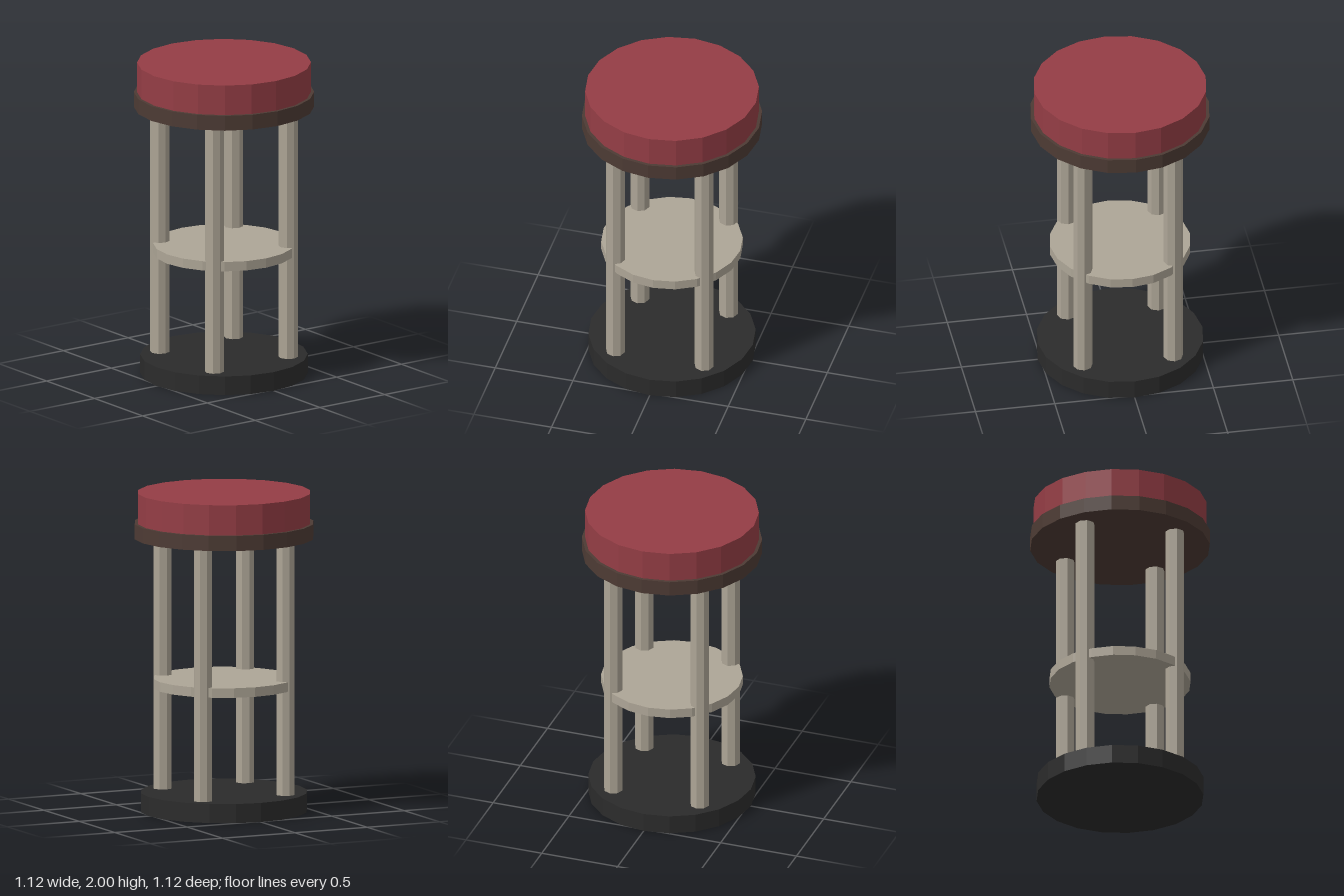
import * as THREE from 'three';

function material(name, color) {
  const m = new THREE.MeshStandardMaterial({ color, flatShading: true });
  m.name = name;
  return m;
}

export function createModel() {
  const red = material('red upholstery', 0x943d45);
  const brown = material('dark brown wood', 0x4d3b34);
  const metal = material('warm grey metal', 0xada596);
  const black = material('black base', 0x2b2b2b);
  const stool = new THREE.Group();
  stool.name = 'stool';

  // Upright faceted cylinder spanning y0 to y1
  function column(name, radius, y0, y1, sides, mat, x = 0, z = 0) {
    const mesh = new THREE.Mesh(new THREE.CylinderGeometry(radius, radius, y1 - y0, sides), mat);
    mesh.name = name;
    mesh.position.set(x, (y0 + y1) / 2, z);
    stool.add(mesh);
  }

  // Stacked discs
  column('base', 0.52, 0, 0.12, 20, black);
  column('footShelf', 0.44, 0.775, 0.835, 20, metal);
  column('seatRim', 0.56, 1.715, 1.81, 20, brown);
  column('cushion', 0.54, 1.81, 2, 20, red);

  // Four legs, sunk into the base and the seat rim
  for (const [side, sx] of [['Left', 1], ['Right', -1]]) {
    for (const [end, sz] of [['front', 1], ['back', -1]]) {
      column(`${end}${side}Leg`, 0.06, 0.02, 1.75, 8, metal, sx * 0.285, sz * 0.285);
    }
  }
  return stool;
}
